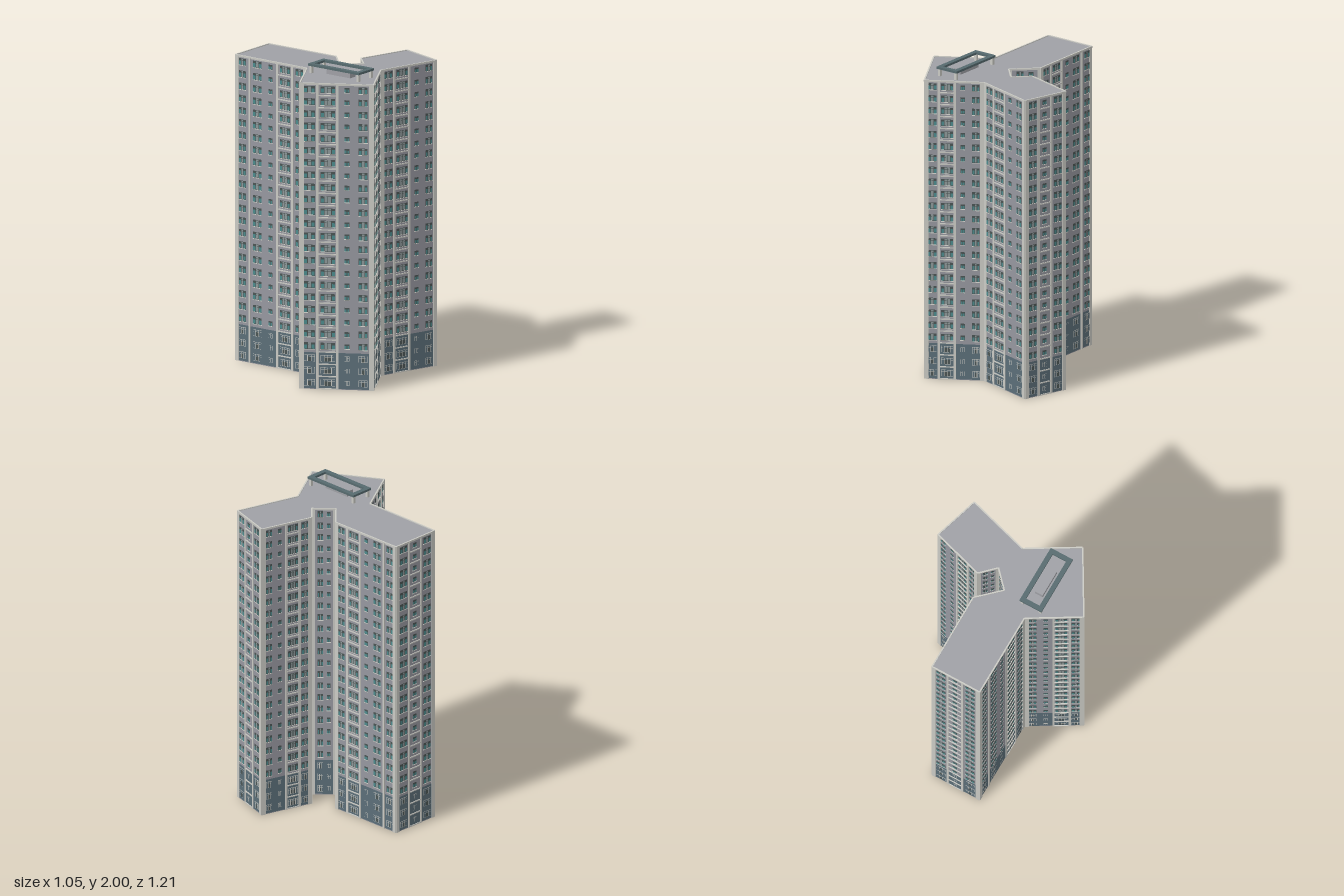
import * as THREE from 'three';
import { mergeGeometries } from 'three/addons/utils/BufferGeometryUtils.js';

const mat = (name, color) => new THREE.MeshStandardMaterial({ name, color });
const M = {
  wall: mat('grey wall', 0x96979f),
  base: mat('slate base', 0x5b6e78),
  roof: mat('roof grey', 0x9fa0a5),
  pale: mat('pale trim', 0xcacac4),
  dark: mat('window frame', 0x4b5554),
  glass: mat('teal glass', 0x4c8a8c),
  pane: mat('grey pane', 0x8d9899),
  steel: mat('roof steel', 0x566a6e),
};

const FLOORS = 25, TOP = 1.94, STOREY = TOP / FLOORS, BASE = 3 * STOREY;

// Footprint corners [x, z], left to right as each wall is seen from outside
const PLAN = [
  [-0.484, 0.347], [-0.105, 0.602], [0.1, 0.293], [0.52, 0.223], [0.472, -0.082], [0.125, -0.026],
  [0.08, 0.1], [-0.06, 0.045], [0.01, -0.139], [-0.218, -0.605], [-0.522, -0.46], [-0.282, 0.042],
];

// Bay layouts: p = pilaster, w = window, b = balcony window, s = small window;
// [kind, position, width, floor slab width]
const STANDARD = [['w', 0.13, 0.15], ['p', 0.24], ['b', 0.38, 0.2, 0.25], ['p', 0.51],
  ['s', 0.64, 0.07], ['w', 0.86, 0.12]];
const END = [['w', 0.19, 0.19], ['p', 0.33], ['s', 0.48, 0.1, 0.3], ['p', 0.64], ['w', 0.8, 0.19]];
const LONG = [['w', 0.1, 0.11], ['p', 0.2], ['b', 0.305, 0.14, 0.2], ['p', 0.41], ['s', 0.51, 0.055],
  ['w', 0.69, 0.12], ['p', 0.8], ['w', 0.9, 0.1]];
const SHORT = [['w', 0.36, 0.22], ['s', 0.7, 0.15]];
const mirror = (bays) => bays.map(([kind, t, ...rest]) => [kind, 1 - t, ...rest]);
const LAYOUTS = [STANDARD, STANDARD, STANDARD, END, mirror(STANDARD), SHORT, SHORT, SHORT,
  LONG, END, mirror(LONG), mirror(STANDARD)];

function mesh(name, geometry, material, parent) {
  const m = new THREE.Mesh(geometry, material);
  m.name = name;
  parent.add(m);
  return m;
}

function prism(name, y0, y1, material, parent) {
  const shape = new THREE.Shape(PLAN.map(([x, z]) => new THREE.Vector2(x, -z)));
  const g = new THREE.ExtrudeGeometry(shape, { depth: y1 - y0, bevelEnabled: false });
  g.rotateX(-Math.PI / 2).translate(0, y0, 0);
  return mesh(name, g, material, parent);
}

function facade(i) {
  const [x0, z0] = PLAN[i], [x1, z1] = PLAN[(i + 1) % PLAN.length];
  const length = Math.hypot(x1 - x0, z1 - z0);
  const parts = { pale: [], dark: [], glass: [], pane: [], base: [] };
  const plate = (key, x, y, w, h, z) =>
    parts[key].push(new THREE.PlaneGeometry(w, h).translate(x, y, z));
  const block = (key, x, y, w, h, d) =>
    parts[key].push(new THREE.BoxGeometry(w, h, d).translate(x, y, d / 2));

  // One window: frame, tall panes with teal outer lights, small top lights
  const makeWindow = (x, y, w, h, panes, low) => {
    plate(low ? 'pale' : 'dark', x, y, w, h, 0.002);
    const step = w / panes, gap = 0.004;
    for (let k = 0; k < panes; k++) {
      const px = x - w / 2 + step * (k + 0.5);
      const outer = k === 0 || k === panes - 1;
      const lower = low ? (outer ? 'base' : 'dark') : outer ? 'glass' : 'pane';
      const upper = low ? 'base' : outer ? 'dark' : 'pane';
      plate(lower, px, y - h * 0.14, step - gap, h * 0.62, 0.0035);
      plate(upper, px, y + h * 0.33, step - gap, h * 0.24, 0.0035);
    }
    if (!low) block('pale', x, y - h / 2 - 0.002, w + 0.004, 0.003, 0.004);
  };

  // Corner pilasters and roof edge
  const corner = length > 0.25 ? 0.027 : 0.02;
  block('pale', corner / 2, TOP / 2, corner, TOP, 0.004);
  block('pale', length - corner / 2, TOP / 2, corner, TOP, 0.004);
  parts.pale.push(new THREE.BoxGeometry(length, 0.012, 0.009).translate(length / 2, TOP - 0.001, 0));

  for (const [kind, t, width, slab] of LAYOUTS[i]) {
    const x = t * length;
    if (kind === 'p') {
      block('pale', x, TOP / 2, 0.015, TOP, 0.005);
      continue;
    }
    const w = width * length;
    for (let f = 0; f < FLOORS; f++) {
      const y = (f + 0.54) * STOREY, low = f < 3;
      if (kind === 's') makeWindow(x, y, w, 0.03, 2, low);
      else makeWindow(x, y, w, 0.042, kind === 'b' ? 4 : 3, low);
      if (slab) block('pale', x, f * STOREY + 0.004, slab * length, 0.007, 0.005);
    }
  }

  const group = new THREE.Group();
  group.name = 'facade' + (i + 1);
  const names = {
    pale: 'pilastersAndTrim', dark: 'windowFrames', glass: 'windowGlass',
    pane: 'windowPanes', base: 'baseWindowPanes',
  };
  for (const key in parts) mesh(names[key], mergeGeometries(parts[key]), M[key], group);
  group.position.set(x0, 0, z0);
  group.rotation.y = Math.atan2(z0 - z1, x1 - x0);
  return group;
}

function roofStructure() {
  const group = new THREE.Group();
  group.name = 'roofStructure';
  const W = 0.156, L = 0.394, B = 0.03;
  // Open rectangular canopy
  const ring = new THREE.Shape([[-1, -1], [1, -1], [1, 1], [-1, 1]]
    .map(([a, b]) => new THREE.Vector2(a * W / 2, b * L / 2)));
  ring.holes.push(new THREE.Path([[-1, -1], [-1, 1], [1, 1], [1, -1]]
    .map(([a, b]) => new THREE.Vector2(a * (W / 2 - B), b * (L / 2 - B)))));
  const g = new THREE.ExtrudeGeometry(ring, { depth: 0.014, bevelEnabled: false });
  mesh('canopyRing', g.rotateX(-Math.PI / 2).translate(0, 1.986, 0), M.steel, group);
  // Posts
  for (const sx of [-1, 1]) for (const sz of [-1, 1]) {
    const post = mesh('canopyPost', new THREE.BoxGeometry(0.018, 0.05, 0.018), M.pale, group);
    post.position.set(sx * (W - B) / 2, 1.962, sz * (L - B) / 2);
  }
  // Plant room
  mesh('plantRoom', new THREE.BoxGeometry(0.054, 0.034, 0.182), M.roof, group).position.y = 1.956;
  group.position.set(-0.168, 0, 0.284);
  group.rotation.y = 0.45;
  return group;
}

export function createModel() {
  const model = new THREE.Group();
  model.name = 'apartmentTower';
  prism('groundSlab', 0, 0.004, M.wall, model);
  prism('baseStoreys', 0.004, BASE, M.base, model);
  prism('upperStoreys', BASE, TOP - 0.004, M.wall, model);
  prism('roofSlab', TOP - 0.004, TOP, M.roof, model);
  PLAN.forEach((_, i) => model.add(facade(i)));
  model.add(roofStructure());
  return model;
}
